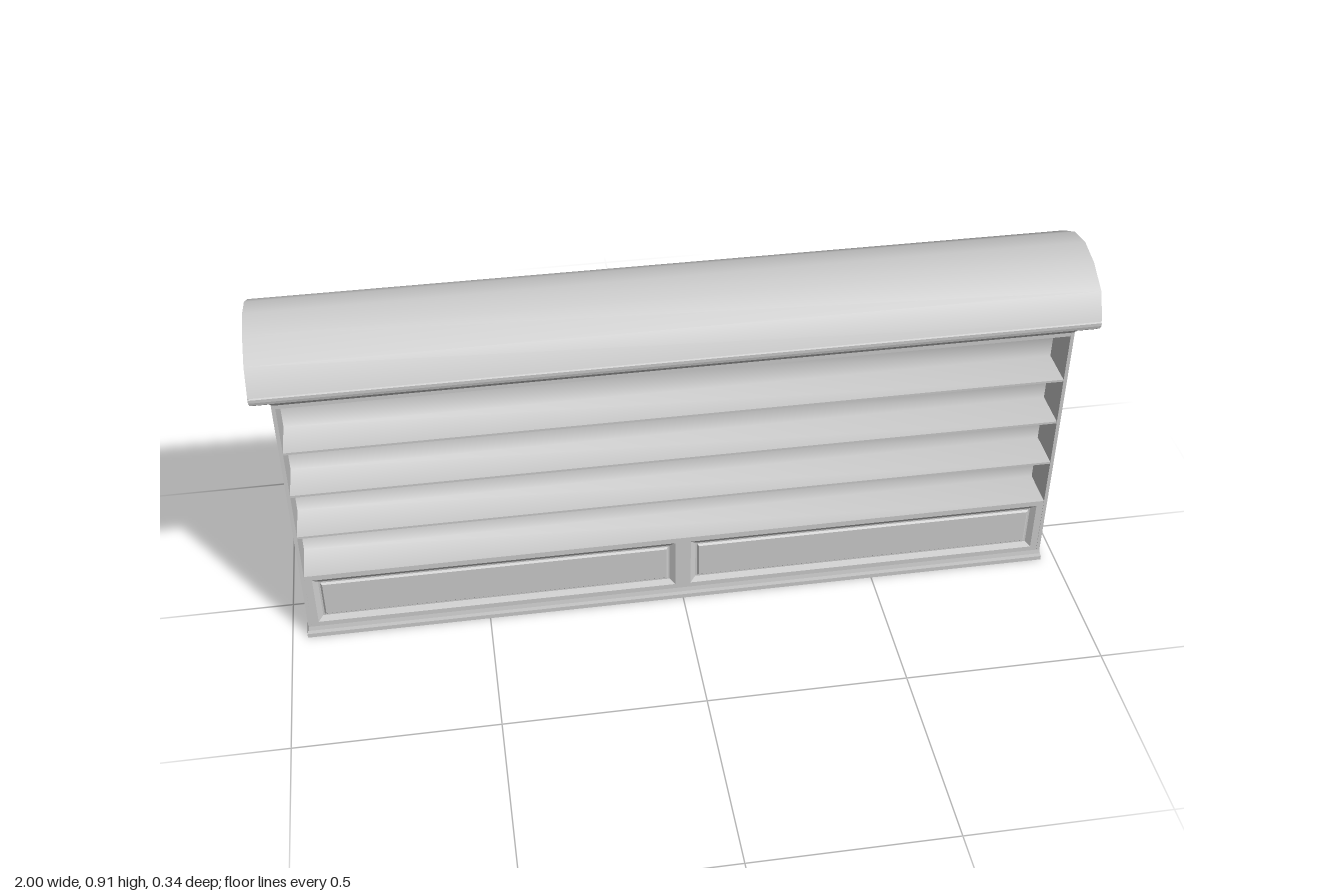
import * as THREE from 'three';

const material = new THREE.MeshStandardMaterial({ color: 0xcccccc, side: THREE.DoubleSide });
const HX = 0.957, HZ = 0.124, INNER = 0.948, EAVES = 0.79;
const SHELVES = [0.2, 0.33, 0.46, 0.59, 0.72];

function add(parent, name, geometry, x = 0, y = 0, z = 0) {
  const mesh = new THREE.Mesh(geometry, material);
  mesh.name = name;
  mesh.position.set(x, y, z);
  parent.add(mesh);
  return mesh;
}

// Skin between successive cross-sections, with optional end caps
function loft(rings, { closed = true, smooth = false, capStart = false, capEnd = false } = {}) {
  const n = rings[0].length, index = [];
  for (let r = 0; r < rings.length - 1; r++) {
    for (let i = 0; i < (closed ? n : n - 1); i++) {
      const j = (i + 1) % n, a = r * n + i, b = r * n + j, c = a + n, d = b + n;
      index.push(a, b, d, a, d, c);
    }
  }
  const last = (rings.length - 1) * n;
  for (let i = 1; i < n - 1; i++) {
    if (capStart) index.push(0, i + 1, i);
    if (capEnd) index.push(last, last + i, last + i + 1);
  }
  let g = new THREE.BufferGeometry();
  g.setAttribute('position', new THREE.Float32BufferAttribute(rings.flat(2), 3));
  g.setIndex(index);
  if (!smooth) g = g.toNonIndexed();
  g.computeVertexNormals();
  return g;
}

const rectXZ = (hx, hz, y) => [[hx, y, hz], [hx, y, -hz], [-hx, y, -hz], [-hx, y, hz]];
const rectXY = ([x0, y0, x1, y1], inset, z) => [
  [x0 + inset, y0 + inset, z], [x1 - inset, y0 + inset, z],
  [x1 - inset, y1 - inset, z], [x0 + inset, y1 - inset, z]];

// Board facing +z with a frame and recessed, moulded panels
function panelledBoard(name, hw, y0, y1, panels, bevel, depth) {
  const board = new THREE.Group();
  board.name = name;
  const shape = new THREE.Shape([[-hw, y0], [hw, y0], [hw, y1], [-hw, y1]].map(p => new THREE.Vector2(...p)));
  for (const p of panels) {
    shape.holes.push(new THREE.Path(rectXY(p, 0, 0).map(([x, y]) => new THREE.Vector2(x, y))));
    add(board, 'panel', loft([
      rectXY(p, 0, 0), rectXY(p, bevel * 0.6, -depth),
      rectXY(p, bevel * 0.8, -depth), rectXY(p, bevel, -depth * 0.5)], { capEnd: true }));
  }
  add(board, 'frame', new THREE.ExtrudeGeometry(shape, { depth, bevelEnabled: false }), 0, 0, -depth);
  add(board, 'backing', new THREE.BoxGeometry(hw * 2, y1 - y0, 0.003), 0, (y0 + y1) / 2, -depth - 0.0015);
  return board;
}

// Half-faceted arch across z at a given x
const arch = (a, h, x) => [[-1, 0], [-0.81, 0.56], [-0.41, 0.88], [0, 1], [0.41, 0.88], [0.81, 0.56], [1, 0]]
  .map(([z, y]) => [x, EAVES + y * h, z * a]);

// One shelved face of the unit, facing +z
function shelfFace() {
  const face = new THREE.Group();
  face.name = 'shelfFace';
  const lower = panelledBoard('lowerFront', INNER, 0, 0.197, [
    [-0.93, 0.045, -0.02, 0.185], [0.02, 0.045, 0.93, 0.185]], 0.022, 0.009);
  lower.position.z = HZ - 0.001;
  face.add(lower);
  for (let i = 0; i < SHELVES.length; i++) {
    const y = SHELVES[i];
    const top = i === SHELVES.length - 1;
    const h = top ? 0.016 : 0.006;
    add(face, top ? 'header' : 'shelfEdge', new THREE.BoxGeometry(INNER * 2, h, 0.004), 0, top ? y + h / 2 : y - h / 2, HZ - 0.003);
    if (top) continue;
    // Softly shaded bay: ceiling, back and shelf top
    const up = SHELVES[i + 1] - (i === SHELVES.length - 2 ? 0 : 0.006);
    const bay = x => [[x, up, HZ - 0.002], [x, up, 0.02], [x, y, 0.02], [x, y, HZ - 0.002]];
    add(face, 'shelfBay', loft([bay(-INNER), bay(INNER)], { closed: false, smooth: true }));
  }
  return face;
}

// One end of the unit, facing +x
function endWall() {
  const end = new THREE.Group();
  end.name = 'endWall';
  const wall = panelledBoard('sidePanels', HZ, 0, 0.735, [
    [-0.1, 0.045, 0.1, 0.192], [-0.1, 0.216, 0.1, 0.443], [-0.1, 0.468, 0.1, 0.713]], 0.009, 0.006);
  wall.rotation.y = Math.PI / 2;
  wall.position.x = HX;
  end.add(wall);
  // Stepped arches receding under the roof
  const steps = [[0.171, 0.117], [0.163, 0.11], [0.146, 0.098], [0.13, 0.087], [0.113, 0.071], [0.103, 0.066]];
  const rings = [arch(...steps[0], 1)];
  for (let i = 1; i < steps.length; i++) {
    const x = 1 - (i - 1) * 0.012;
    rings.push(arch(...steps[i], x), arch(...steps[i], x - 0.012));
  }
  add(end, 'steppedGable', loft(rings, { capEnd: true }));
  return end;
}

export function createModel() {
  const model = new THREE.Group();
  model.name = 'doubleSidedShelfUnit';

  for (const turn of [0, Math.PI]) {
    const face = shelfFace(), end = endWall();
    face.rotation.y = end.rotation.y = turn;
    model.add(face, end);
  }

  // Flared plinth
  add(model, 'plinth', loft([
    rectXZ(0.962, 0.129, 0), rectXZ(0.962, 0.129, 0.012),
    rectXZ(0.959, 0.126, 0.02), rectXZ(HX, HZ, 0.032)], { capStart: true }));

  // Mitred cornice
  const cornice = [[0.125, 0.732], [0.143, 0.757], [0.15, 0.762], [0.163, 0.764], [0.17, 0.77], [0.172, 0.778], [0.172, 0.786], [0.169, EAVES]];
  add(model, 'cornice', loft(cornice.map(([z, y]) => rectXZ(z + 0.828, z, y)), { capStart: true, capEnd: true }));

  // Barrel roof
  add(model, 'roof', loft([arch(0.171, 0.117, -1), arch(0.171, 0.117, 1)], { closed: false, smooth: true }));

  return model;
}
